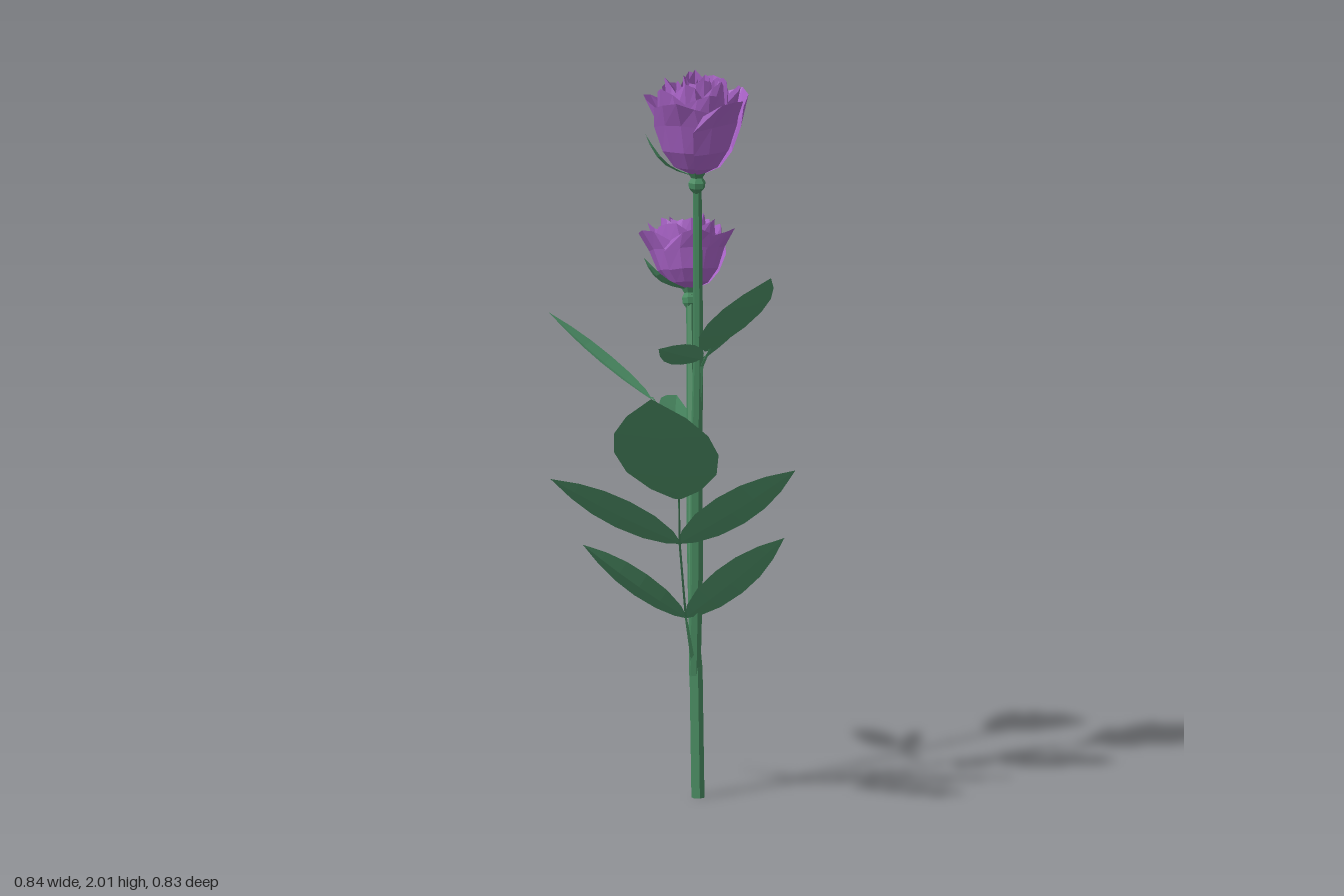
import * as THREE from 'three';

const V = (p) => new THREE.Vector3(...p);

function makeMaterial(name, color) {
  const m = new THREE.MeshStandardMaterial({ color, side: THREE.DoubleSide, flatShading: true });
  m.name = name;
  return m;
}

// Surface from a rule f(u, v, row) -> [x, y, z] on a small grid
function patch(nu, nv, f) {
  const pos = [], idx = [];
  for (let j = 0; j <= nv; j++)
    for (let i = 0; i <= nu; i++) pos.push(...f(i / nu, j / nv, j));
  for (let j = 0; j < nv; j++)
    for (let i = 0; i < nu; i++) {
      const a = j * (nu + 1) + i, b = a + nu + 1;
      idx.push(a, a + 1, b, a + 1, b + 1, b);
    }
  const g = new THREE.BufferGeometry();
  g.setAttribute('position', new THREE.Float32BufferAttribute(pos, 3));
  g.setIndex(idx);
  g.computeVertexNormals();
  return g;
}

// Tapered stem through a few points: [x, y, z, radius]
function stemGeometry(pts, sides = 6) {
  return patch(sides, pts.length - 1, (u, v, j) => {
    const [x, y, z, r] = pts[j], a = -u * Math.PI * 2;
    return [x + Math.cos(a) * r, y, z + Math.sin(a) * r];
  });
}

// Pointed leaf from base to tip; "across" gives the direction of its width
const LEAF = [[0, 0.08], [0.08, 0.48], [0.24, 0.86], [0.44, 1], [0.63, 0.9], [0.81, 0.57], [1, 0]];
function leafGeometry(base, tip, across, width, fold = 0.05, bow = 0.02) {
  const b = V(base), axis = V(tip).sub(b), len = axis.length();
  const dir = axis.clone().normalize();
  const w = V(across).addScaledVector(dir, -V(across).dot(dir)).normalize();
  const n = new THREE.Vector3().crossVectors(dir, w).normalize();
  if (n.y < 0) n.negate();
  return patch(2, LEAF.length - 1, (u, v, j) => {
    const [t, h] = LEAF[j], s = u * 2 - 1;
    const lift = Math.abs(s) * h * fold * width - bow * len * Math.sin(Math.PI * t);
    return b.clone().addScaledVector(axis, t).addScaledVector(w, s * h * width / 2)
      .addScaledVector(n, lift).toArray();
  });
}

export function createModel() {
  const model = new THREE.Group();
  model.name = 'twoFlowerStem';
  const leafGreen = makeMaterial('leaf green', 0x50946a);
  const stemGreen = makeMaterial('stem green', 0x488a60);
  const petalPurple = makeMaterial('petal purple', 0xa862c6);

  const add = (name, geo, mat, parent = model) => {
    const m = new THREE.Mesh(geo, mat);
    m.name = name;
    parent.add(m);
  };

  // Stems
  add('mainStem', stemGeometry([[0.13, 0, 0.03, 0], [0.13, 0, 0.03, 0.018],
    [0.131, 0.35, 0.022, 0.018], [0.128, 0.45, 0.02, 0.012]]), stemGreen);
  add('tallStem', stemGeometry([[0.128, 0.33, 0.02, 0.016], [0.095, 0.65, 0.058, 0.018],
    [0.06, 0.95, 0.09, 0.016], [0.033, 1.22, 0.122, 0.014], [-0.006, 1.7, 0.155, 0.012]]), stemGreen);
  add('shortStem', stemGeometry([[0.131, 0.33, 0.018, 0.015], [0.178, 0.7, -0.035, 0.016],
    [0.222, 1.0, -0.08, 0.013], [0.272, 1.33, -0.132, 0.011]]), stemGreen);

  // Leaf stalks
  const r = 0.004;
  add('lowStalk', stemGeometry([[0.128, 0.34, 0.02, 0.009], [0.07, 0.5, 0.042, r],
    [-0.045, 0.73, 0.127, r], [-0.12, 0.875, 0.195, 0.003]], 4), stemGreen);
  add('backStalk', stemGeometry([[0.178, 0.7, -0.035, 0.012], [0.186, 0.85, -0.065, r],
    [0.185, 0.97, -0.1, r], [0.158, 1.06, -0.165, 0.003]], 4), stemGreen);
  add('highStalk', stemGeometry([[0.05, 1.05, 0.105, 0.008], [0.036, 1.2, 0.132, 0.006],
    [0.035, 1.255, 0.165, 0.003]], 4), stemGreen);

  // Compound leaves: one end leaf with paired leaflets set across its axis
  const compounds = [
    { name: 'low', base: [-0.125, 0.87, 0.195], tip: [-0.428, 1.21, 0.382], across: [0.03, 0.12, 0.28], width: 0.285,
      pairs: [
        [[-0.045, 0.73, 0.127], [-0.265, 0.9, -0.14], 0.17],
        [[-0.045, 0.73, 0.127], [0.14, 0.935, 0.378], 0.17],
        [[0.07, 0.5, 0.042], [-0.088, 0.69, -0.188], 0.165],
        [[0.07, 0.5, 0.042], [0.244, 0.718, 0.24], 0.165]] },
    { name: 'back', base: [0.155, 1.055, -0.165], tip: [0.01, 1.28, -0.405], across: [0.8, -0.1, -0.58], width: 0.205,
      pairs: [
        [[0.182, 0.97, -0.1], [0, 1.085, 0.018], 0.105],
        [[0.182, 0.97, -0.1], [0.356, 1.025, -0.26], 0.115]] },
    { name: 'high', base: [0.033, 1.245, 0.155], tip: [0.025, 1.477, 0.396], across: [1, 0, 0], width: 0.205,
      pairs: [
        [[0.033, 1.22, 0.135], [-0.155, 1.277, 0.153], 0.09],
        [[0.033, 1.22, 0.135], [0.22, 1.308, 0.142], 0.09]] },
  ];
  for (const c of compounds) {
    add(c.name + 'EndLeaf', leafGeometry(c.base, c.tip, c.across, c.width), leafGreen);
    const axis = V(c.tip).sub(V(c.base)).toArray();
    c.pairs.forEach(([b, t, w], i) =>
      add(c.name + 'Leaflet' + (i + 1), leafGeometry(b, t, axis, w), leafGreen));
  }

  // Seeded variation for the petals
  let seed = 7;
  const rand = () => (seed = (seed * 16807) % 2147483647) / 2147483647;

  // Cupped petal wrapped round the flower's axis, one edge tucked inside its neighbour
  const RAD = [0.17, 0.53, 0.8, 1, 1], RISE = [0, 0.1, 0.33, 0.7, 1];
  function petalGeometry(angle, span, radius, height, flare) {
    const wob = Array.from({ length: 5 }, () => rand() - 0.5);
    return patch(4, 4, (u, v, j) => {
      const s = u * 2 - 1, edge = s * s, k = wob[Math.round(u * 4)];
      const a = angle + s * span / 2 * (j === 4 ? 0.75 : 1);
      let q = radius * RAD[j] * (0.93 + 0.12 * u);
      if (j === 4) q *= flare * (1 - 0.17 * edge) + 0.16 * k;
      const y = height * RISE[j] * (1 - 0.14 * edge * v) + (j === 4 ? 0.016 * k : 0);
      return [Math.cos(a) * q, y, Math.sin(a) * q];
    });
  }

  // Rings: count, span, radius, height, flare
  const RINGS = [
    [5, 1.75, 0.115, 0.21, 1.26], [5, 1.6, 0.103, 0.238, 1.12], [5, 1.6, 0.082, 0.255, 1.02],
    [4, 1.9, 0.062, 0.262, 0.95], [4, 1.8, 0.044, 0.255, 0.88], [3, 2.3, 0.026, 0.245, 0.8],
  ];
  function flower(name, base, axis, wide, high, turn) {
    const g = new THREE.Group();
    g.name = name;
    RINGS.forEach(([n, span, rad, h, flare], k) => {
      for (let i = 0; i < n; i++) {
        const a = turn + k * 0.63 + (i / n) * Math.PI * 2 + (rand() - 0.5) * 0.2;
        add('petal', petalGeometry(a, span, rad * wide, h * high * (0.97 + 0.06 * rand()), flare), petalPurple, g);
      }
    });
    // Swollen base below the petals
    const cup = [[0.009, -0.055], [0.022, -0.04], [0.024, -0.025], [0.016, -0.012], [0.03, 0.008]];
    add('flowerBase', new THREE.LatheGeometry(cup.map((p) => new THREE.Vector2(p[0] * wide, p[1])), 6), stemGreen, g);
    g.position.set(...base);
    g.quaternion.setFromUnitVectors(new THREE.Vector3(0, 1, 0), V(axis).normalize());
    model.add(g);
  }
  flower('tallFlower', [-0.007, 1.735, 0.155], [0, 1, 0.01], 1, 1, 0.3);
  flower('shortFlower', [0.277, 1.342, -0.14], [0.035, 0.2, -0.042], 0.88, 0.72, 1.0);

  // Sepals under the blooms
  const sepals = [
    [[-0.02, 1.73, 0.15], [-0.138, 1.85, 0.09], [0.4, 0, -0.8], 0.05],
    [[0.0, 1.73, 0.14], [0.04, 1.77, 0.07], [1, 0, 0.5], 0.04],
    [[0.27, 1.34, -0.14], [0.163, 1.435, -0.2], [0, 0, 1], 0.045],
  ];
  for (const [b, t, a, w] of sepals) add('sepal', leafGeometry(b, t, a, w, 0.1, 0.15), leafGreen);

  return model;
}
